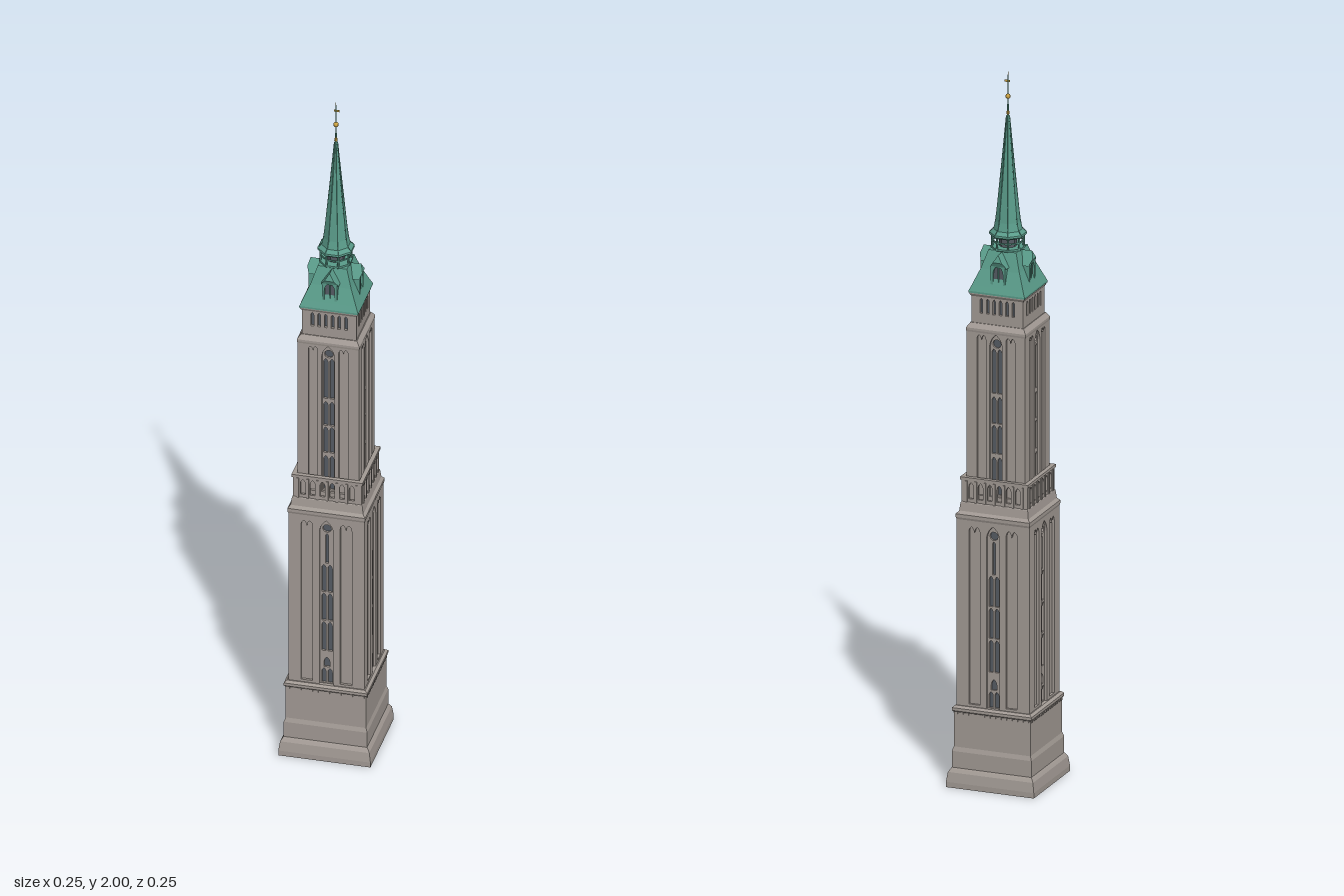
import * as THREE from 'three';
import { ConvexGeometry } from 'three/addons/geometries/ConvexGeometry.js';

const mat = (color) => new THREE.MeshStandardMaterial({ color, flatShading: true });
const stone = mat(0xa39b95), copper = mat(0x5a9c8a), glass = mat(0x565c64), gold = mat(0xc9a040);

export function createModel() {
  const tower = new THREE.Group();
  tower.name = 'tower';

  const add = (name, geometry, material, parent = tower) => {
    const mesh = new THREE.Mesh(geometry, material);
    mesh.name = name;
    parent.add(mesh);
    return mesh;
  };

  // Repeats one geometry on the four faces
  const fourSides = (name, geometry, material) => {
    const group = new THREE.Group();
    group.name = name;
    for (let i = 0; i < 4; i++) add(name + 'Side', geometry, material, group).rotation.y = i * Math.PI / 2;
    tower.add(group);
  };

  // Stacked profile [half width, y] with n sides, flats facing the axes
  const loft = (name, profile, n, material) => {
    const k = 1 / Math.cos(Math.PI / n);
    const points = profile.map(([r, y]) => new THREE.Vector2(r * k, y));
    return add(name, new THREE.LatheGeometry(points, n, Math.PI / n), material);
  };

  // Pointed opening
  const lancet = (x, w, y0, y1) => {
    const p = new THREE.Path();
    const spring = y1 - 1.8 * w;
    p.moveTo(x - w, y0);
    p.lineTo(x + w, y0);
    p.lineTo(x + w, spring);
    p.quadraticCurveTo(x + w * 0.9, y1 - 0.7 * w, x, y1);
    p.quadraticCurveTo(x - w * 0.9, y1 - 0.7 * w, x - w, spring);
    p.closePath();
    return p;
  };
  const pair = (y0, y1) => [-0.0085, 0.0085].map((x) => lancet(x, 0.006, y0, y1));
  const rosette = (y) => new THREE.Path().absarc(0, y, 0.012, 0, Math.PI * 2);

  // Panel with two small arches at its head
  const twinPanel = (x, w, y0, y1) => {
    const p = new THREE.Path(), s = y1 - w;
    p.moveTo(x - w, y0);
    p.lineTo(x + w, y0);
    p.lineTo(x + w, s);
    p.quadraticCurveTo(x + w, y1 - w * 0.3, x + w / 2, y1);
    p.quadraticCurveTo(x + w * 0.1, y1 - w * 0.3, x, s);
    p.quadraticCurveTo(x - w * 0.1, y1 - w * 0.3, x - w / 2, y1);
    p.quadraticCurveTo(x - w, y1 - w * 0.3, x - w, s);
    p.closePath();
    return p;
  };

  // Wall layer with openings; one end stops short so the four meet cleanly
  const walls = (name, h, depth, y0, y1, holes) => {
    const s = new THREE.Shape();
    s.moveTo(-h, y0);
    s.lineTo(h - depth, y0);
    s.lineTo(h - depth, y1);
    s.lineTo(-h, y1);
    s.closePath();
    s.holes.push(...holes);
    const g = new THREE.ExtrudeGeometry(s, { depth, bevelEnabled: false, curveSegments: 5 });
    fourSides(name, g.translate(0, 0, h - depth), stone);
  };

  const core = (name, h, y0, y1, material) =>
    add(name, new THREE.BoxGeometry(2 * h, y1 - y0, 2 * h).translate(0, (y0 + y1) / 2, 0), material);

  // Plinth
  loft('plinth', [[0, 0], [0.127, 0], [0.127, 0.015], [0.123, 0.042], [0.118, 0.05], [0.115, 0.054],
    [0.115, 0.1], [0.111, 0.112], [0.111, 0.21], [0.115, 0.214], [0.115, 0.222], [0.108, 0.228], [0, 0.228]], 4, stone);
  for (let i = 0; i < 14; i++) {
    fourSides('dentils', new THREE.BoxGeometry(0.007, 0.007, 0.005)
      .translate((i - 6.5) * 0.0158, 0.2085, 0.1115), stone);
  }

  // Lower shaft: panelled skin, traceried screen, glazing
  walls('lowerShaft', 0.105, 0.007, 0.215, 0.765, [
    lancet(0, 0.019, 0.22, 0.742), twinPanel(-0.054, 0.016, 0.235, 0.735), twinPanel(0.054, 0.016, 0.235, 0.735)]);
  walls('lowerTracery', 0.098, 0.006, 0.215, 0.765, [
    ...pair(0.23, 0.275), lancet(0, 0.008, 0.28, 0.31), ...pair(0.33, 0.42), ...pair(0.425, 0.51),
    ...pair(0.515, 0.6), lancet(0, 0.004, 0.605, 0.698), rosette(0.714)]);
  core('lowerGlazing', 0.092, 0.215, 0.765, glass);

  // Gallery between the shafts
  loft('galleryFloor', [[0, 0.752], [0.105, 0.752], [0.107, 0.758], [0.107, 0.767], [0.1, 0.775],
    [0.097, 0.798], [0.093, 0.803], [0, 0.803]], 4, stone);
  const arcade = [-2.5, -1.5, -0.5, 0.5, 1.5, 2.5];
  walls('galleryParapet', 0.095, 0.006, 0.798, 0.864, arcade.map((i) => lancet(i * 0.027, 0.007, 0.81, 0.856)));
  for (let i = 0; i < 7; i++) {
    fourSides('parapetPiers', new THREE.BoxGeometry(0.006, 0.06, 0.004)
      .translate((i - 3) * 0.027, 0.83, 0.096), stone);
  }
  fourSides('parapetCoping', new THREE.BoxGeometry(0.184, 0.008, 0.012).translate(-0.006, 0.866, 0.092), stone);

  // Upper shaft
  walls('upperShaft', 0.085, 0.007, 0.8, 1.285, [
    lancet(0, 0.018, 0.82, 1.277), twinPanel(-0.042, 0.013, 0.82, 1.272), twinPanel(0.042, 0.013, 0.82, 1.272)]);
  walls('upperTracery', 0.078, 0.006, 0.8, 1.285, [
    ...pair(0.825, 0.93), ...pair(0.94, 1.02), ...pair(1.025, 1.1), ...pair(1.11, 1.235), rosette(1.25)]);
  core('upperGlazing', 0.072, 0.8, 1.285, glass);

  // Slotted band and cornices under the roof
  loft('upperCornice', [[0, 1.278], [0.085, 1.278], [0.086, 1.283], [0.086, 1.289], [0.077, 1.302], [0, 1.302]], 4, stone);
  walls('slottedBand', 0.075, 0.008, 1.298, 1.385, arcade.map((i) => lancet(i * 0.0185, 0.004, 1.33, 1.372)));
  core('bandCore', 0.067, 1.298, 1.385, glass);
  loft('eavesCornice', [[0, 1.376], [0.075, 1.376], [0.079, 1.383], [0.079, 1.388], [0, 1.388]], 4, stone);

  // Hipped copper roof
  loft('roof', [[0, 1.386], [0.081, 1.386], [0.081, 1.391], [0.074, 1.407], [0.056, 1.45], [0.04, 1.5], [0, 1.5]], 4, copper);

  // Dormers
  const front = new THREE.Shape();
  front.moveTo(-0.021, 1.396);
  front.lineTo(0.021, 1.396);
  front.lineTo(0.021, 1.463);
  front.lineTo(0, 1.49);
  front.lineTo(-0.021, 1.463);
  front.closePath();
  front.holes.push(lancet(0, 0.0145, 1.4, 1.47));
  fourSides('dormerFront', new THREE.ExtrudeGeometry(front, { depth: 0.035, bevelEnabled: false, curveSegments: 6 })
    .translate(0, 0, 0.036), copper);
  const hood = [[0, 1.498, 0.03], [0, 1.498, 0.07]];
  for (const s of [-1, 1]) hood.push([s * 0.025, 1.461, 0.03], [s * 0.025, 1.461, 0.069], [s * 0.013, 1.477, 0.076]);
  fourSides('dormerRoof', new ConvexGeometry(hood.map((p) => new THREE.Vector3(...p))), copper);
  fourSides('dormerOpening', new THREE.BoxGeometry(0.034, 0.07, 0.004).translate(0, 1.433, 0.063), glass);
  fourSides('dormerMullion', new THREE.BoxGeometry(0.003, 0.066, 0.004).translate(0, 1.43, 0.067), copper);

  // Octagonal lantern with columns
  loft('lanternFloor', [[0, 1.494], [0.036, 1.494], [0.043, 1.5], [0.043, 1.505], [0, 1.505]], 8, copper);
  loft('lanternCore', [[0, 1.5], [0.022, 1.5], [0.022, 1.545], [0, 1.545]], 8, glass);
  const columns = new THREE.Group();
  columns.name = 'lanternColumns';
  tower.add(columns);
  for (let i = 0; i < 8; i++) {
    const a = (i + 0.5) * Math.PI / 4;
    add('column', new THREE.CylinderGeometry(0.003, 0.003, 0.036, 6), copper, columns)
      .position.set(0.042 * Math.sin(a), 1.52, 0.042 * Math.cos(a));
    const rail = add('rail', new THREE.BoxGeometry(0.032, 0.004, 0.003), copper, columns);
    rail.rotation.y = i * Math.PI / 4;
    rail.position.set(0.039 * Math.sin(rail.rotation.y), 1.52, 0.039 * Math.cos(rail.rotation.y));
  }

  // Spire with flared foot and ribs
  loft('spire', [[0, 1.533], [0.042, 1.533], [0.047, 1.538], [0.046, 1.543], [0.036, 1.552], [0.031, 1.575],
    [0.018, 1.71], [0.004, 1.87], [0, 1.88]], 8, copper);
  const k = 1 / Math.cos(Math.PI / 8);
  const ribs = new THREE.Group();
  ribs.name = 'spireRibs';
  tower.add(ribs);
  for (let i = 0; i < 8; i++) {
    const a = (i + 0.5) * Math.PI / 4;
    const points = [[0.046, 1.543], [0.036, 1.552], [0.031, 1.575], [0.018, 1.71], [0.004, 1.87]]
      .map(([r, y]) => new THREE.Vector3(r * k * Math.sin(a), y, r * k * Math.cos(a)));
    add('rib', new THREE.TubeGeometry(new THREE.CatmullRomCurve3(points), 16, 0.0012, 4), copper, ribs);
  }

  // Finial and weather vane
  add('finialRod', new THREE.CylinderGeometry(0.001, 0.0025, 0.12, 6).translate(0, 1.925, 0), copper);
  add('finialBall', new THREE.SphereGeometry(0.007, 12, 8).translate(0, 1.925, 0), gold);
  add('finialCollar', new THREE.CylinderGeometry(0.003, 0.005, 0.01, 8).translate(0, 1.88, 0), gold);
  add('vaneRod', new THREE.CylinderGeometry(0.0006, 0.001, 0.03, 5).translate(0, 1.985, 0), gold);
  add('vane', new THREE.BoxGeometry(0.016, 0.006, 0.001).translate(0.002, 1.968, 0), gold);

  return tower;
}
